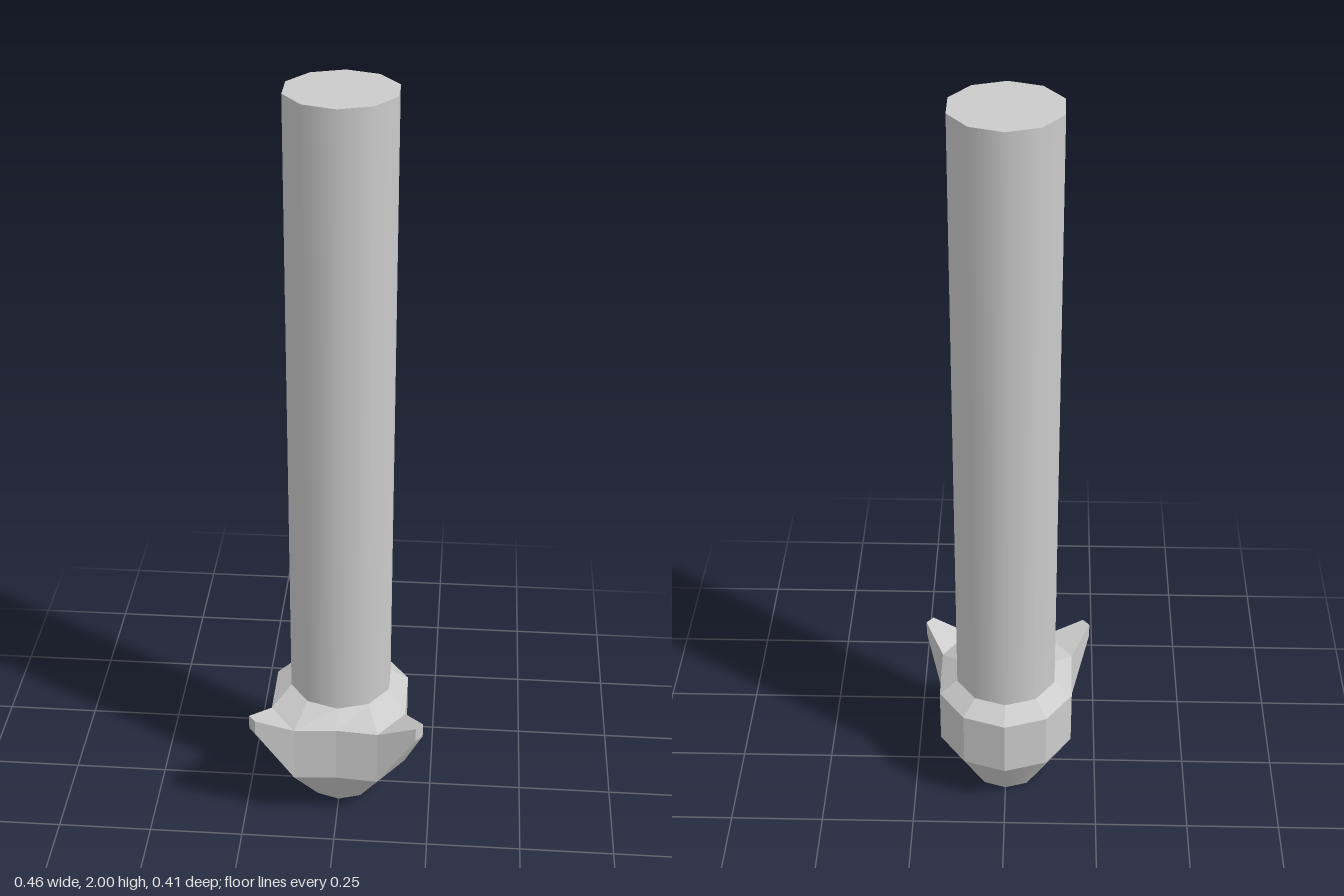
import * as THREE from 'three';
import { toCreasedNormals } from 'three/addons/utils/BufferGeometryUtils.js';

const SIDES = 10;
const AXIS_Z = -0.015;
const SHAFT_R = 0.139;

// Ten-sided ring around the shaft axis; `push` moves the front shoulder corners forward
function ring(radius, y, push = 0) {
  return Array.from({ length: SIDES }, (_, i) => {
    const a = (i / SIDES) * Math.PI * 2;
    const shoulder = [1, 2, 8, 9].includes(i) ? push : 0;
    return [radius * Math.sin(a), y, AXIS_Z + radius * Math.cos(a) + shoulder];
  });
}

// Quads joining two rings, leaving out the listed sides
function band(lower, upper, skip = []) {
  const quads = [];
  for (let i = 0; i < SIDES; i++) {
    const j = (i + 1) % SIDES;
    if (!skip.includes(i)) quads.push([lower[i], lower[j], upper[j], upper[i]]);
  }
  return quads;
}

// Flat-faced geometry from quads given counter-clockwise
function fromQuads(quads) {
  const pos = quads.flatMap(([a, b, c, d]) => [a, b, c, a, c, d].flat());
  const geo = new THREE.BufferGeometry();
  geo.setAttribute('position', new THREE.Float32BufferAttribute(pos, 3));
  geo.computeVertexNormals();
  return geo;
}

export function createModel() {
  const group = new THREE.Group();
  const smooth = new THREE.MeshStandardMaterial({ color: 0xcccccc });
  const flat = new THREE.MeshStandardMaterial({ color: 0xcccccc, flatShading: true });
  const add = (name, geo, mat) => {
    const mesh = new THREE.Mesh(geo, mat);
    mesh.name = name;
    group.add(mesh);
    return mesh;
  };

  const foot = ring(0.1, 0);
  const low = ring(0.189, 0.15, 0.045);
  const high = ring(0.189, 0.31, 0.045);
  const neck = ring(SHAFT_R, 0.345);

  // Long shaft
  const shaft = add('shaft', new THREE.CylinderGeometry(SHAFT_R, SHAFT_R, 1.655, SIDES), smooth);
  shaft.position.set(0, 0.345 + 1.655 / 2, AXIS_Z);

  // Tapered nose with its flat end
  add('nose', toCreasedNormals(fromQuads(band(foot, low)), 0.9), smooth);
  const end = add('noseEnd', new THREE.CircleGeometry(0.1, SIDES, Math.PI / 2), flat);
  end.rotation.x = Math.PI / 2;
  end.rotation.z = Math.PI;
  end.position.z = AXIS_Z;

  // Collar wall, open where the spikes grow out, and its sloped top
  add('collar', fromQuads(band(low, high, [1, 8])), flat);
  add('collarTop', fromQuads(band(high, neck)), flat);

  // Two front spikes, each drawn out from one collar side to a small end face
  for (const [name, a, b] of [['leftSpike', 1, 2], ['rightSpike', 8, 9]]) {
    const base = [low[a], low[b], high[b], high[a]];
    const tipAt = (i, y) => {
      const s = i < 5 ? 1 : -1;
      return i === 1 || i === 9 ? [s * 0.212, y, 0.201] : [s * 0.23, y, 0.179];
    };
    const tip = [tipAt(a, 0.31), tipAt(b, 0.31), tipAt(b, 0.35), tipAt(a, 0.35)];
    const quads = base.map((p, k) => {
      const n = (k + 1) % 4;
      return [p, base[n], tip[n], tip[k]];
    });
    add(name, fromQuads([...quads, tip]), flat);
  }
  return group;
}
